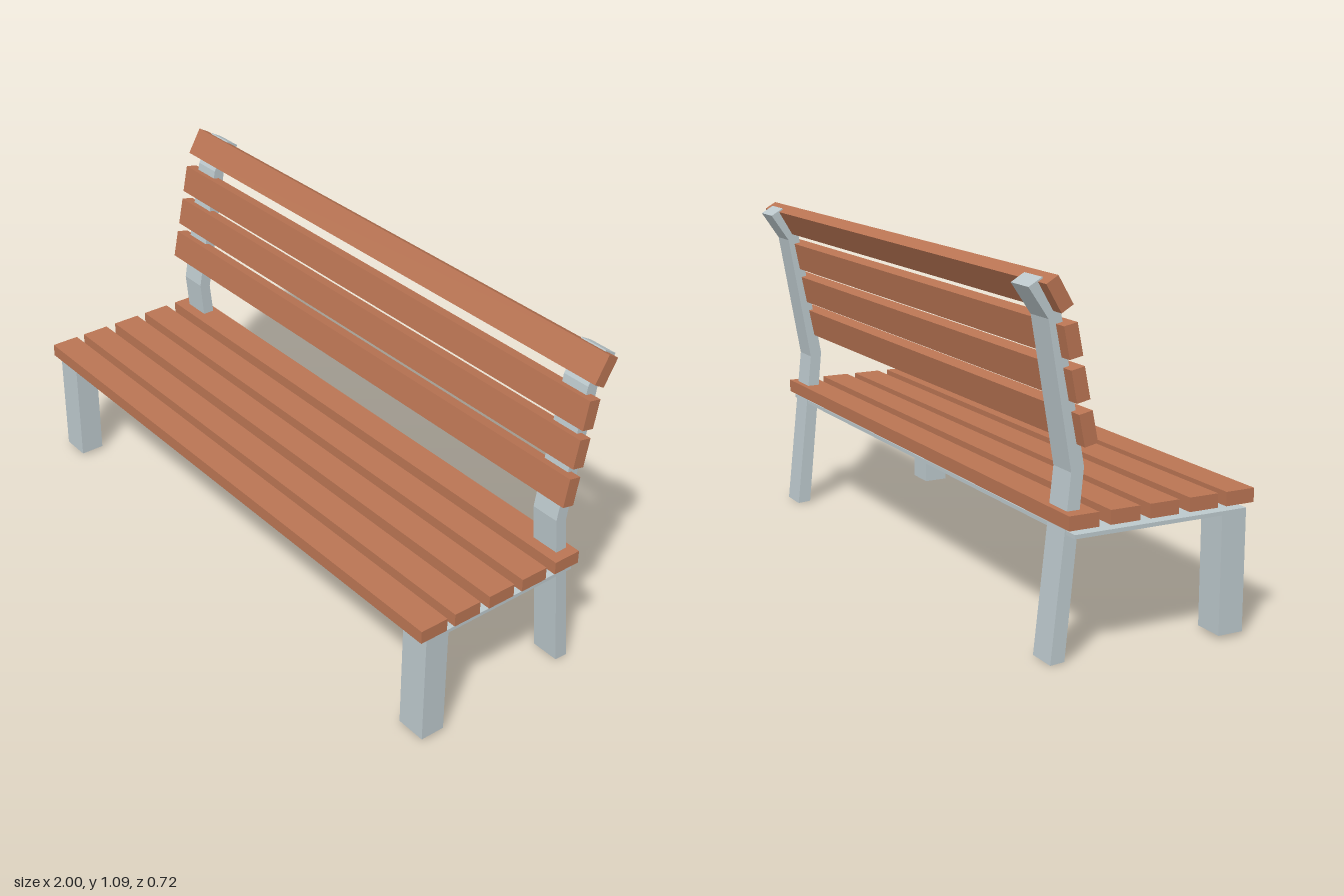
import * as THREE from 'three';

export function createModel() {
  const bench = new THREE.Group();
  bench.name = 'bench';
  const wood = new THREE.MeshStandardMaterial({ color: 0xb97453 });
  wood.name = 'wood';
  const metal = new THREE.MeshStandardMaterial({ color: 0xbcc8cc });
  metal.name = 'metal';

  const addBox = (name, material, size, position, tilt = 0) => {
    const mesh = new THREE.Mesh(new THREE.BoxGeometry(...size), material);
    mesh.name = name;
    mesh.position.set(...position);
    mesh.rotation.x = -tilt;
    bench.add(mesh);
  };

  // Seat slats
  [0.312, 0.188, 0.057, -0.071, -0.203].forEach((z, i) =>
    addBox(`seatSlat${i + 1}`, wood, [1.99, 0.042, 0.095], [0, 0.412, z]));

  // Back slats: y, z, backward tilt
  [[0.667, -0.193, 0.2], [0.789, -0.219, 0.2], [0.909, -0.243, 0.2], [1.036, -0.286, 0.53]]
    .forEach(([y, z, tilt], i) =>
      addBox(`backSlat${i + 1}`, wood, [1.99, 0.093, 0.042], [0, y, z], tilt));

  // Thin plate under the seat
  addBox('seatPlate', metal, [1.984, 0.012, 0.565], [-0.008, 0.374, 0.0475]);

  // Front legs
  addBox('frontLegRight', metal, [0.1, 0.37, 0.082], [-0.95, 0.195, 0.289]);
  addBox('frontLegLeft', metal, [0.1, 0.37, 0.082], [0.934, 0.195, 0.289]);

  // Bent rear posts: side outline as (z, y), extruded across x
  const outline = [
    [-0.235, 0.003], [-0.18, 0.552], [-0.257, 0.98], [-0.315, 1.078],
    [-0.356, 1.054], [-0.295, 0.965], [-0.22, 0.54], [-0.28, 0],
  ];
  const shape = new THREE.Shape(outline.map(([z, y]) => new THREE.Vector2(-z, y)));
  const postGeometry = new THREE.ExtrudeGeometry(shape, { depth: 0.095, bevelEnabled: false });
  postGeometry.translate(0, 0, -0.0475);
  postGeometry.rotateY(Math.PI / 2);
  [['rearPostRight', -0.905], ['rearPostLeft', 0.912]].forEach(([name, x]) => {
    const post = new THREE.Mesh(postGeometry, metal);
    post.name = name;
    post.position.x = x;
    bench.add(post);
  });

  return bench;
}
